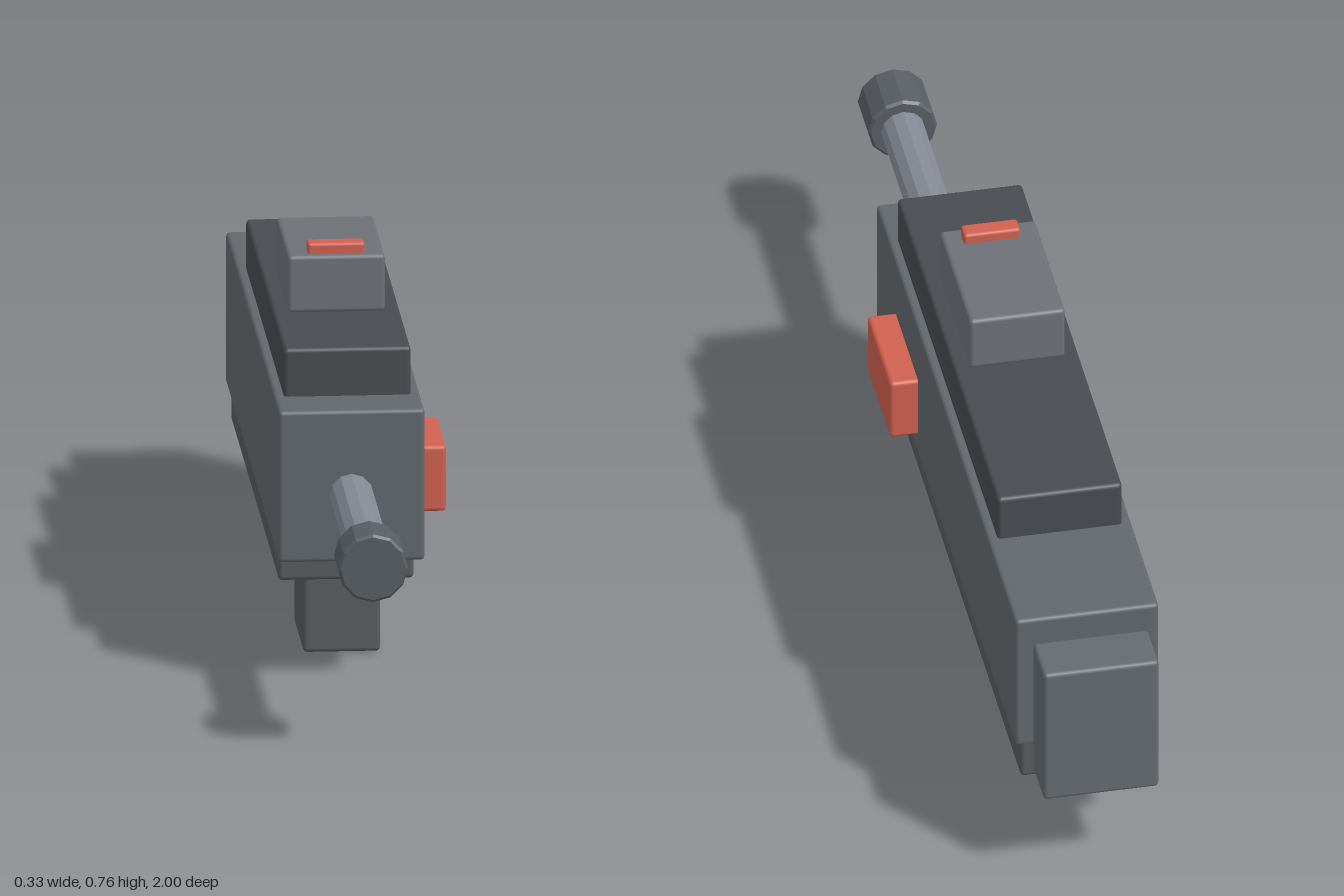
import * as THREE from 'three';
import { RoundedBoxGeometry } from 'three/addons/geometries/RoundedBoxGeometry.js';

const CENTER_X = -0.028; // centre line of the body and barrel
const BARREL_Y = 0.372;

export function createModel() {
  const group = new THREE.Group();
  const paint = (color, flatShading = false) => new THREE.MeshStandardMaterial({ color, flatShading });
  const red = paint(0xd0604f);

  // Softly bevelled block given by its extents on each axis
  function block(name, [x0, x1], [y0, y1], [z0, z1], material, bevel = 0.008) {
    const geometry = new RoundedBoxGeometry(x1 - x0, y1 - y0, z1 - z0, 2, bevel);
    const mesh = new THREE.Mesh(geometry, material);
    mesh.name = name;
    mesh.position.set((x0 + x1) / 2, (y0 + y1) / 2, (z0 + z1) / 2);
    group.add(mesh);
  }

  // Twelve-sided turned part along z, from [radius, z] points running back to front
  function turned(name, points, material) {
    const geometry = new THREE.LatheGeometry(points.map(([r, z]) => new THREE.Vector2(r, z)), 12);
    geometry.rotateX(Math.PI / 2);
    const mesh = new THREE.Mesh(geometry, material);
    mesh.name = name;
    mesh.position.set(CENTER_X, BARREL_Y, 0);
    group.add(mesh);
  }

  // Main housing and the blocks stacked on it
  block('body', [-0.165, 0.11], [0.243, 0.537], [-0.87, 0.46], paint(0x62686d));
  block('lowerBody', [-0.155, 0.1], [0.17, 0.26], [-0.87, 0.315], paint(0x565b5d));
  block('topRail', [-0.147, 0.092], [0.52, 0.63], [-0.61, 0.35], paint(0x484b50));
  block('sight', [-0.12, 0.063], [0.63, 0.741], [-0.2, 0.09], paint(0x6d7177));
  block('grip', [-0.1, 0.045], [0, 0.185], [-0.015, 0.205], paint(0x575c5e));
  block('backPlate', [-0.139, 0.082], [0.208, 0.502], [-1, -0.894], paint(0x656b70));

  // Red accents
  block('sightMarker', [-0.082, 0.026], [0.725, 0.761], [0.039, 0.075], red, 0.006);
  block('sidePanel', [0.1, 0.164], [0.289, 0.417], [0.06, 0.279], red);

  // Barrel and bevelled muzzle
  turned('barrel', [[0, 0.44], [0.042, 0.44], [0.042, 0.91], [0, 0.91]], paint(0x858a95, true));
  turned('muzzle', [[0, 0.892], [0.061, 0.892], [0.066, 0.897], [0.066, 0.995], [0.061, 1], [0, 1]],
    paint(0x585e64, true));

  return group;
}
